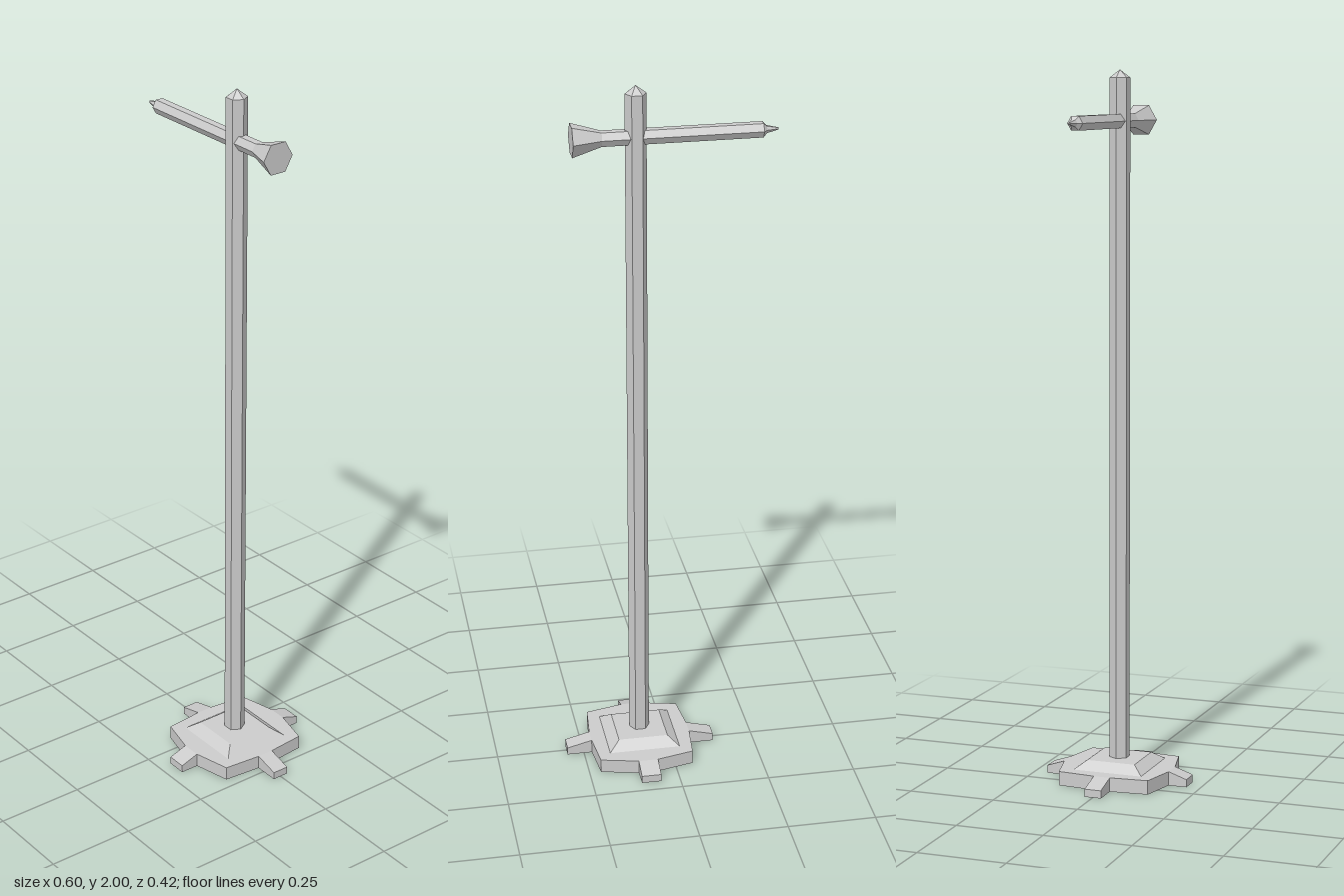
import * as THREE from 'three';

const material = new THREE.MeshStandardMaterial({ color: 0xcccccc, flatShading: true });

function part(name, geometry) {
  const mesh = new THREE.Mesh(geometry, material);
  mesh.name = name;
  return mesh;
}

// Six-sided turned solid from [radius, height] pairs
function hexLathe(profile, start = 0) {
  return new THREE.LatheGeometry(profile.map(([r, y]) => new THREE.Vector2(r, y)), 6, start);
}

function extrude(points, depth) {
  const shape = new THREE.Shape(points.map(([x, y]) => new THREE.Vector2(x, y)));
  return new THREE.ExtrudeGeometry(shape, { depth, bevelEnabled: false });
}

// Sloping foot reaching out along +x, then turned about the pole
function foot(inner, outer, width, angle) {
  const profile = [[inner - 0.03, 0], [outer, 0], [outer, 0.022], [inner, 0.04], [inner - 0.03, 0.04]];
  const geometry = extrude(profile, width);
  geometry.translate(0, 0, -width / 2);
  geometry.rotateY(angle);
  return part('foot', geometry);
}

export function createModel() {
  const model = new THREE.Group();
  model.name = 'signPost';
  const post = new THREE.Group();
  post.name = 'post';
  post.position.x = 0.083;
  model.add(post);

  // Base plate with slightly pointed sides
  const quarter = [[0.144, 0.025], [0.134, 0.133], [0.028, 0.158]];
  const mirror = (pts, sx, sy) => pts.map(([x, y]) => [x * sx, y * sy]);
  const reversed = [...quarter].reverse();
  const outline = [
    ...quarter, ...mirror(reversed, -1, 1), ...mirror(quarter, -1, -1), ...mirror(reversed, 1, -1),
  ];
  post.add(part('basePlate', extrude(outline, 0.04).rotateX(-Math.PI / 2)));

  // Raised plinth with bevelled sides
  const plinth = new THREE.BoxGeometry(0.206, 0.024, 0.206).translate(0, 0.051, 0);
  const pos = plinth.attributes.position;
  for (let i = 0; i < pos.count; i++) {
    if (pos.getY(i) > 0.051) {
      pos.setX(i, pos.getX(i) * 0.69);
      pos.setZ(i, pos.getZ(i) * 0.69);
    }
  }
  plinth.computeVertexNormals();
  post.add(part('plinth', plinth));

  // Four feet
  for (let i = 0; i < 4; i++) {
    const angle = i * Math.PI / 2;
    post.add(i % 2 ? foot(0.158, 0.211, 0.056, angle) : foot(0.144, 0.215, 0.048, angle));
  }

  // Pole with a low pointed cap
  post.add(part('pole', hexLathe([[0.029, 0.05], [0.029, 1.978], [0, 2]], Math.PI / 2)));

  // Crossbar: pointed at one end, flared at the other
  const bar = hexLathe([
    [0, -0.3], [0.003, -0.299], [0.011, -0.267], [0.022, -0.257],
    [0.022, 0.175], [0.047, 0.255], [0, 0.255],
  ]);
  bar.rotateZ(-Math.PI / 2).translate(0, 1.86, 0);
  model.add(part('crossbar', bar));

  return model;
}
